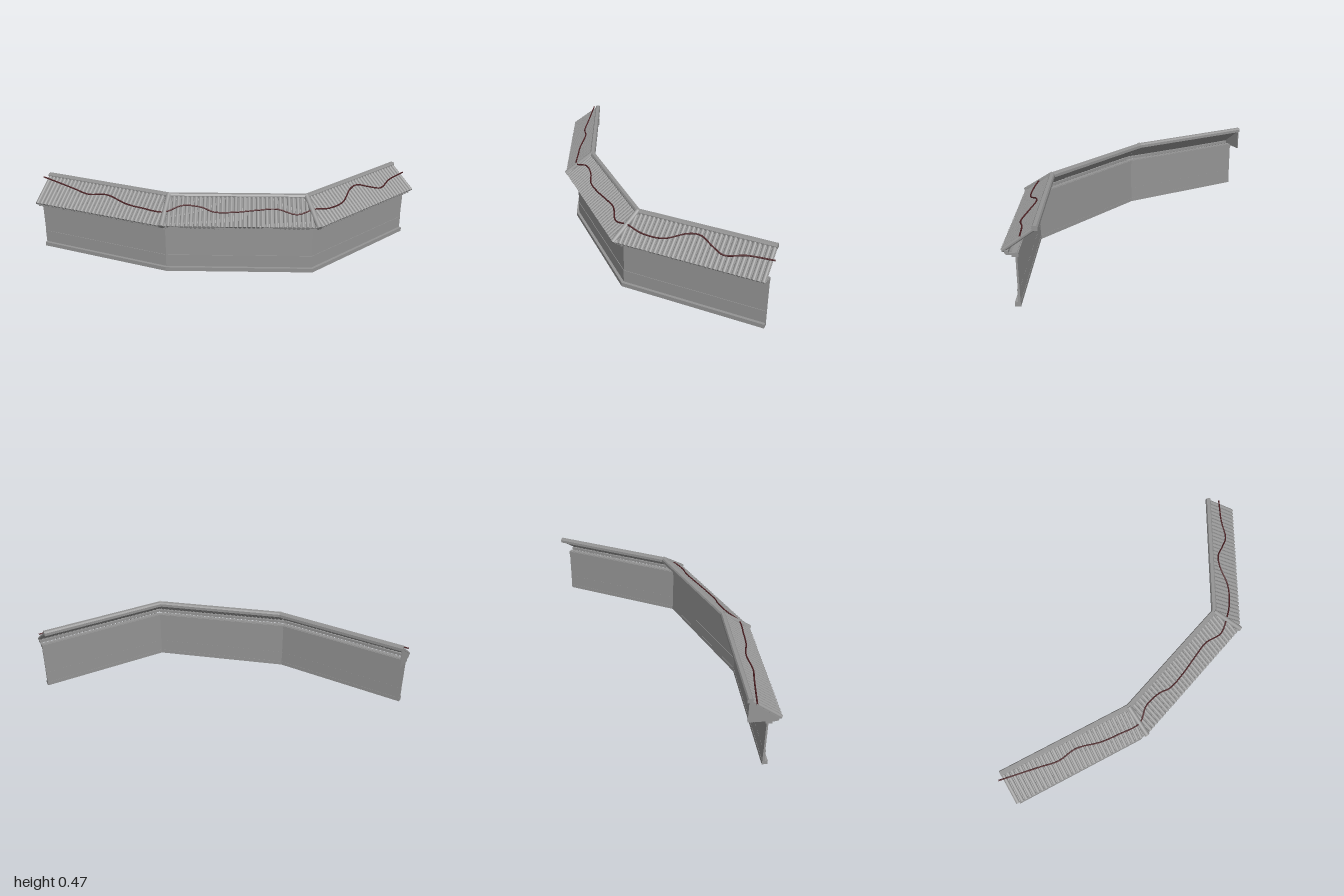
import * as THREE from 'three';
import { mergeGeometries } from 'three/addons/utils/BufferGeometryUtils.js';

// Wall face line in plan: x, z. Cross-sections use u (outward from this line) and y.
const PATH = [[-0.682, 0.935], [0.08, 0.53], [0.66, -0.13], [0.66, -0.985]]
  .map(([x, z]) => new THREE.Vector3(x, 0, z));
const RIDGE_U = -0.105, EAVE_U = 0.068;
const roofY = (u) => 0.326 + (EAVE_U - u) * 0.71;

const direction = (a, b) => b.clone().sub(a).normalize();
const outward = (d) => new THREE.Vector3(-d.z, 0, d.x);

// Mitred outward vectors at each point of a path
function miters(path) {
  const normals = path.slice(1).map((p, i) => outward(direction(path[i], p)));
  return path.map((_, i) => {
    const a = normals[Math.max(i - 1, 0)], b = normals[Math.min(i, normals.length - 1)];
    const m = a.clone().add(b).normalize();
    return m.divideScalar(m.dot(a));
  });
}

// Sweep a convex anticlockwise [u, y] profile along a path, with flat faces and end caps
function sweep(profile, path = PATH) {
  const m = miters(path);
  const rings = path.map((p, i) => profile.map(([u, y]) => {
    const v = p.clone().addScaledVector(m[i], u);
    v.y = y;
    return v;
  }));
  const points = [], n = profile.length, last = rings[rings.length - 1];
  for (let i = 0; i < rings.length - 1; i++) {
    for (let j = 0; j < n; j++) {
      const k = (j + 1) % n, a = rings[i], b = rings[i + 1];
      points.push(a[j], b[j], b[k], a[j], b[k], a[k]);
    }
  }
  for (let j = 1; j < n - 1; j++) {
    points.push(rings[0][0], rings[0][j], rings[0][j + 1]);
    points.push(last[0], last[j + 1], last[j]);
  }
  const g = new THREE.BufferGeometry().setFromPoints(points);
  g.computeVertexNormals();
  return g;
}

const rect = (u0, u1, y0, y1) => [[u0, y0], [u1, y0], [u1, y1], [u0, y1]];

// Round bar between two points
function bar(a, b, r, sides) {
  const g = new THREE.CylinderGeometry(r, r, a.distanceTo(b), sides);
  g.applyQuaternion(new THREE.Quaternion().setFromUnitVectors(
    new THREE.Vector3(0, 1, 0), direction(a, b)));
  return g.translate(...a.clone().add(b).multiplyScalar(0.5).toArray());
}

// Height of the roof at a plan position, from the nearest run of wall
function roofHeightAt(x, z) {
  let best = Infinity, height = 0;
  for (let i = 0; i < 3; i++) {
    const p = new THREE.Vector3(x, 0, z);
    const near = new THREE.Line3(PATH[i], PATH[i + 1]).closestPointToPoint(p, true, new THREE.Vector3());
    const dist = near.distanceTo(p);
    if (dist < best) {
      best = dist;
      height = roofY(p.sub(near).dot(outward(direction(PATH[i], PATH[i + 1]))));
    }
  }
  return height;
}

export function createModel() {
  const model = new THREE.Group();
  const stone = new THREE.MeshStandardMaterial({ color: 0x949494, side: THREE.DoubleSide });
  stone.name = 'grey stone';
  const maroon = new THREE.MeshStandardMaterial({ color: 0x4a1f22 });
  maroon.name = 'dark maroon';
  const add = (name, geometry, material = stone) => {
    const mesh = new THREE.Mesh(geometry, material);
    mesh.name = name;
    model.add(mesh);
  };

  // Wall, plinth, dado band and top beam
  add('wall', sweep(rect(-0.01, 0, 0, 0.315)));
  add('plinth', sweep(rect(-0.012, 0.02, 0, 0.025)));
  add('dadoBand', sweep(rect(-0.0105, 0.003, 0.025, 0.102)));
  add('topBeam', sweep(rect(-0.016, 0.02, 0.29, 0.312)));

  // Sloping roof sheet, ridge cap and eave board
  add('roofSheet', sweep([
    [RIDGE_U, roofY(RIDGE_U) - 0.008], [EAVE_U, roofY(EAVE_U) - 0.008],
    [EAVE_U, roofY(EAVE_U)], [RIDGE_U, roofY(RIDGE_U)],
  ]));
  add('ridgeCap', sweep([
    [-0.122, 0.434], [-0.092, 0.434], [-0.09, 0.452], [-0.096, 0.462], [-0.116, 0.462], [-0.122, 0.452],
  ]));
  add('eaveBoard', sweep(rect(0.035, 0.055, 0.308, 0.325)));

  // Shallow tile rolls and rafter ends, trimmed along the corner lines
  const rolls = [], rafters = [], m = miters(PATH);
  for (let i = 0; i < 3; i++) {
    const d = direction(PATH[i], PATH[i + 1]), n = outward(d);
    const length = PATH[i].distanceTo(PATH[i + 1]);
    const k0 = m[i].dot(d), k1 = m[i + 1].dot(d);
    const start = k0 * EAVE_U, end = length + k1 * EAVE_U;
    const count = Math.round((end - start) / 0.0265);
    const at = (s, u, y) => PATH[i].clone().addScaledVector(d, s).addScaledVector(n, u).setY(y);
    for (let j = 0; j < count; j++) {
      const s = start + (end - start) * (j + 0.5) / count;
      let top = RIDGE_U;
      if (k0 < -1e-4) top = Math.max(top, s / k0);
      if (k1 > 1e-4) top = Math.max(top, (s - length) / k1);
      if (EAVE_U - top > 0.01) {
        rolls.push(bar(at(s, top, roofY(top) - 0.004), at(s, EAVE_U, roofY(EAVE_U) - 0.004), 0.012, 16));
      }
      if (s > 0 && s < length) {
        const g = new THREE.BoxGeometry(0.05, 0.012, 0.012);
        g.rotateY(Math.atan2(-n.z, n.x));
        rafters.push(g.translate(...at(s, 0.025, 0.303).toArray()));
      }
    }
  }
  add('tileRolls', mergeGeometries(rolls));
  add('rafterEnds', mergeGeometries(rafters));

  // Raised hip ridges at the two corners
  for (const i of [1, 2]) {
    const at = (u) => PATH[i].clone().addScaledVector(m[i], u).setY(roofY(u) + 0.003);
    add('hipRidge', bar(at(-0.108), at(EAVE_U + 0.004), 0.016, 16));
  }

  // Gable plate closing the right-hand end
  const d0 = direction(PATH[0], PATH[1]);
  add('gablePlate', sweep([[-0.112, 0.305], [0.03, 0.305], [0.06, 0.322], [-0.112, 0.444]],
    [PATH[0], PATH[0].clone().addScaledVector(d0, 0.006)]));

  // Thin cord winding over the tiles
  const plan = [
    [-0.74, 0.88], [-0.6, 0.83], [-0.5, 0.795], [-0.4, 0.76], [-0.3, 0.69], [-0.15, 0.645],
    [-0.05, 0.6], [0.08, 0.53], [0.12, 0.43], [0.2, 0.35], [0.27, 0.31], [0.35, 0.22],
    [0.43, 0.11], [0.5, 0.02], [0.6, -0.05], [0.64, -0.15], [0.663, -0.25], [0.66, -0.38],
    [0.61, -0.5], [0.602, -0.57], [0.64, -0.66], [0.665, -0.73], [0.64, -0.85], [0.63, -1.0],
  ];
  const curve = new THREE.CatmullRomCurve3(plan.map(([x, z]) =>
    new THREE.Vector3(x, roofHeightAt(x, z) + 0.013, z)));
  add('cord', new THREE.TubeGeometry(curve, 140, 0.0045, 8), maroon);

  return model;
}
